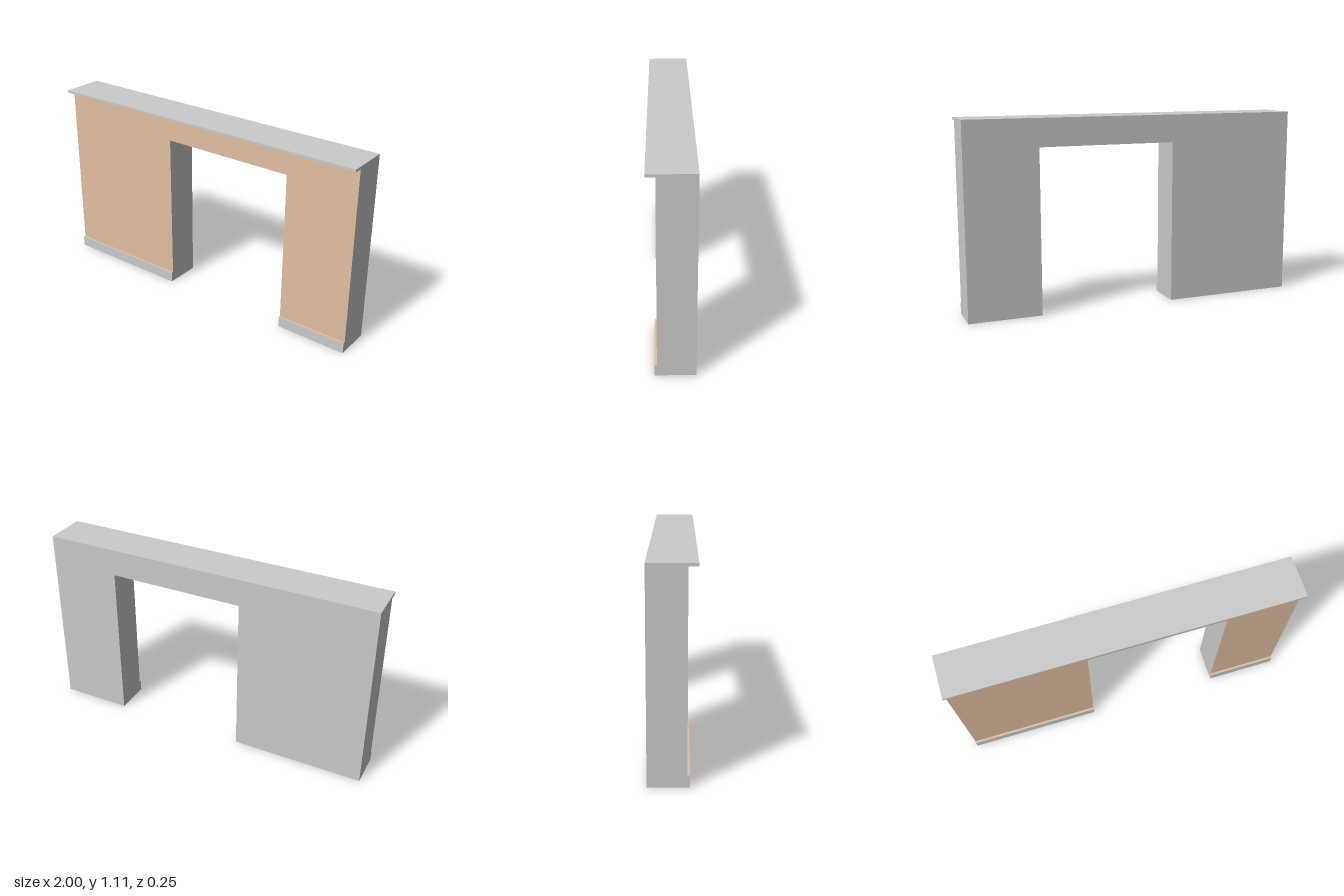
import * as THREE from 'three';

const HEIGHT = 1.11, BACK = -0.125, FACE = 0.075;
const OPEN_LEFT = 0.58, OPEN_RIGHT = -0.22, OPEN_TOP = 0.95;

const grey = new THREE.MeshStandardMaterial({ color: 0xcccccc });
const tan = new THREE.MeshStandardMaterial({ color: 0xe1c0a2 });

// Box given by its limits on each axis; materials run +x, -x, +y, -y, +z, -z
function block(name, [x0, x1], [y0, y1], [z0, z1], material) {
  const mesh = new THREE.Mesh(new THREE.BoxGeometry(x1 - x0, y1 - y0, z1 - z0), material);
  mesh.position.set((x0 + x1) / 2, (y0 + y1) / 2, (z0 + z1) / 2);
  mesh.name = name;
  return mesh;
}

// Wall with a doorway, its front and feet tan, everything else grey
function createWall() {
  const outline = new THREE.Shape([
    [-1, 0], [OPEN_RIGHT, 0], [OPEN_RIGHT, OPEN_TOP], [OPEN_LEFT, OPEN_TOP],
    [OPEN_LEFT, 0], [1, 0], [1, HEIGHT], [-1, HEIGHT],
  ].map(([x, y]) => new THREE.Vector2(x, y)));
  const geometry = new THREE.ExtrudeGeometry(outline, { depth: FACE - BACK, bevelEnabled: false });
  geometry.translate(0, 0, BACK);

  // choose the material of each triangle by where it faces
  const { position, normal } = geometry.attributes;
  geometry.clearGroups();
  for (let i = 0; i < position.count; i += 3) {
    const isFront = normal.getZ(i) > 0.5;
    const isFoot = normal.getY(i) < -0.5 && position.getY(i) < 0.01;
    geometry.addGroup(i, 3, isFront || isFoot ? 1 : 0);
  }
  const wall = new THREE.Mesh(geometry, [grey, tan]);
  wall.name = 'wall';
  return wall;
}

export function createModel() {
  const model = new THREE.Group();
  model.name = 'doorwayWall';
  model.add(createWall());

  // Thin ledge along the top
  model.add(block('topLedge', [-1, 1], [1.095, HEIGHT], [FACE, 0.125], grey));

  // Skirting on each side of the doorway
  const skirting = [grey, grey, tan, tan, grey, grey];
  model.add(block('rightSkirting', [-1, OPEN_RIGHT], [0, 0.063], [FACE, 0.088], skirting));
  model.add(block('leftSkirting', [OPEN_LEFT, 1], [0, 0.063], [FACE, 0.088], skirting));
  return model;
}
